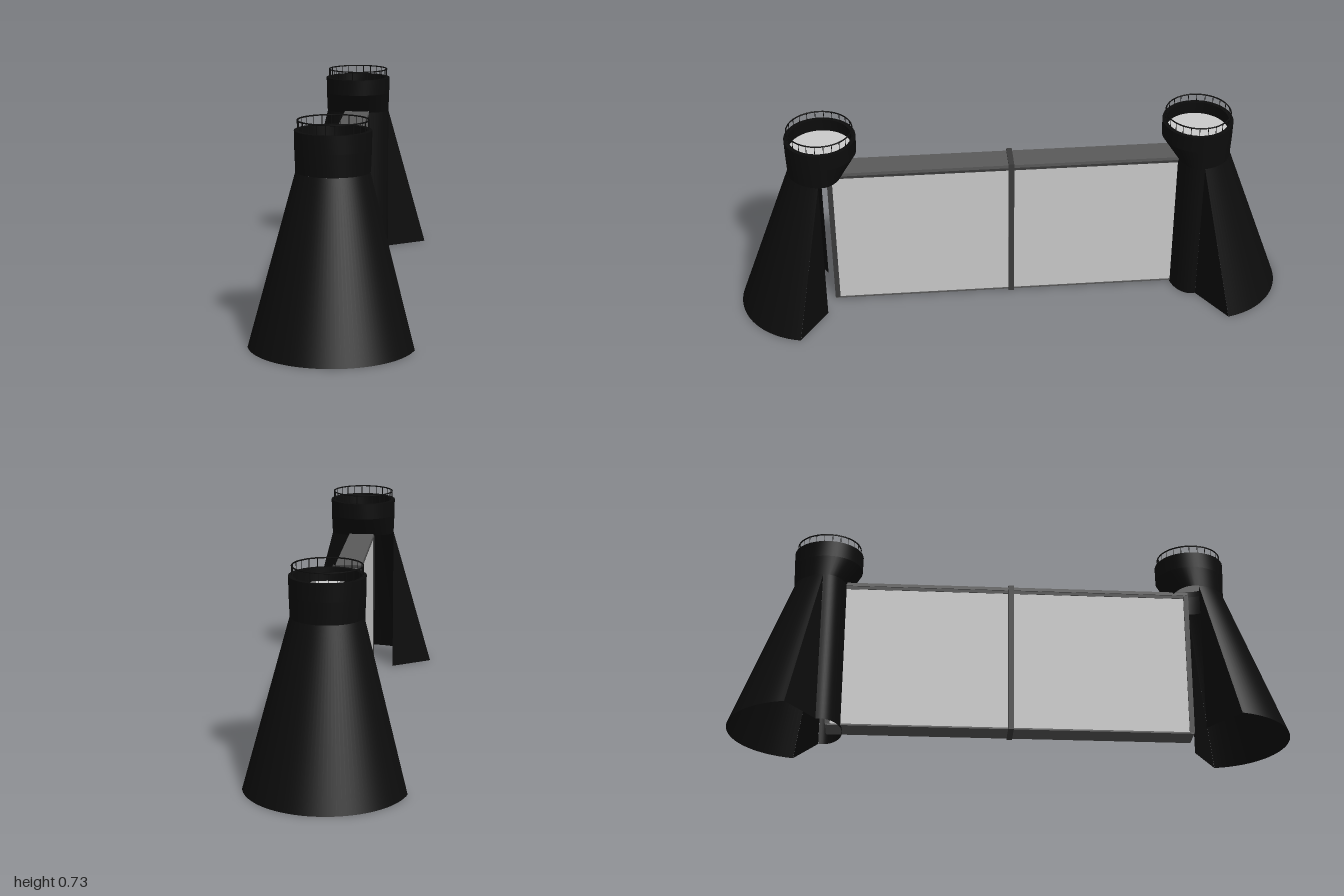
import * as THREE from 'three';

const paint = (color) => new THREE.MeshStandardMaterial({ color, side: THREE.DoubleSide });
const black = paint(0x0c0c0c);
const dark = paint(0x5a5a5a);
const trim = paint(0x3c3c3c);
const grey = paint(0xcccccc);

const CZ = 0.67; // distance of each tower axis from the middle

function add(parent, name, geometry, material, x = 0, y = 0, z = 0) {
  const mesh = new THREE.Mesh(geometry, material);
  mesh.name = name;
  mesh.position.set(x, y, z);
  parent.add(mesh);
  return mesh;
}

// Smooth surface through rings of equal point count
function loft(rings) {
  const n = rings[0].length;
  const index = [];
  for (let r = 0; r < rings.length - 1; r++) {
    for (let i = 0; i < n - 1; i++) {
      const a = r * n + i, b = a + n;
      index.push(a, a + 1, b, a + 1, b + 1, b);
    }
  }
  const g = new THREE.BufferGeometry().setFromPoints(rings.flat());
  g.setIndex(index);
  g.computeVertexNormals();
  return g;
}

// Arc in plan; the half facing the gate can be flattened with its own depth
function arc(y, r, cz, from, to, innerDepth = r, steps = 48) {
  return Array.from({ length: steps + 1 }, (_, i) => {
    const a = THREE.MathUtils.degToRad(from + (to - from) * i / steps);
    const s = Math.sin(a);
    return new THREE.Vector3(r * Math.cos(a), y, cz + s * (s > 0 ? r : innerDepth));
  });
}

function buildTower(name, dir, closed) {
  const tower = new THREE.Group();
  tower.name = name;
  const put = (part, rings) => {
    rings.flat().forEach((p) => { p.z *= dir; });
    return add(tower, part, loft(rings), black);
  };

  // Flared outer skirt, open underneath
  put('flaredSkirt', [arc(0.56, 0.122, CZ, 6, 174), arc(0, 0.276, 0.724, 12, 168)]);

  // Triangular panels closing the cut edges of the skirt
  for (const s of [-1, 1]) {
    const top = new THREE.Vector3(s * 0.121, 0.56, 0.683);
    put('skirtSidePanel', [
      [top, top.clone()],
      [new THREE.Vector3(s * 0.121, 0, 0.683), new THREE.Vector3(s * 0.27, 0, 0.781)],
    ]);
  }

  // Curved inner wall behind the gate end
  if (closed) {
    put('innerWall', [arc(0.56, 0.122, CZ, 174, 366, 0.075), arc(0, 0.122, CZ, 174, 366, 0.075)]);
  }

  // Collar: corbel, drum, rim and parapet lining
  put('collarCorbel', [arc(0.635, 0.125, CZ, 0, 360), arc(0.56, 0.122, CZ, 0, 360, 0.075)]);
  put('collarDrum', [arc(0.695, 0.126, CZ, 0, 360), arc(0.635, 0.125, CZ, 0, 360)]);
  put('collarRim', [arc(0.695, 0.111, CZ, 0, 360), arc(0.695, 0.126, CZ, 0, 360)]);
  put('parapetLining', [arc(0.65, 0.111, CZ, 0, 360), arc(0.695, 0.111, CZ, 0, 360)]);

  // Platform floor
  const floor = add(tower, 'platformFloor', new THREE.CircleGeometry(0.111, 48), grey, 0, 0.65, dir * CZ);
  floor.rotation.x = -Math.PI / 2;

  // Railing
  const railing = new THREE.Group();
  railing.name = 'railing';
  railing.position.set(0, 0, dir * CZ);
  tower.add(railing);
  const rail = add(railing, 'topRail', new THREE.TorusGeometry(0.115, 0.0025, 6, 48), black, 0, 0.727, 0);
  rail.rotation.x = Math.PI / 2;
  const post = new THREE.CylinderGeometry(0.0013, 0.0013, 0.034, 5);
  for (let i = 0; i < 24; i++) {
    const a = (i + 0.5) * Math.PI / 12;
    add(railing, 'railPost', post, black, 0.115 * Math.cos(a), 0.711, 0.115 * Math.sin(a));
  }
  return tower;
}

function buildGate() {
  const gate = new THREE.Group();
  gate.name = 'gate';
  add(gate, 'gatePanel', new THREE.BoxGeometry(0.086, 0.542, 1.306), grey, 0, 0.284, 0);
  // Cap and sill
  add(gate, 'topCap', new THREE.BoxGeometry(0.096, 0.012, 1.306), dark, 0, 0.561, 0);
  add(gate, 'capLip', new THREE.BoxGeometry(0.09, 0.012, 1.304), trim, 0, 0.549, 0);
  add(gate, 'bottomSill', new THREE.BoxGeometry(0.09, 0.006, 1.306), dark, 0, 0.011, 0);
  // Middle band and end strips
  add(gate, 'middleBand', new THREE.BoxGeometry(0.106, 0.567, 0.02), trim, 0, 0.29, 0);
  for (const sx of [-1, 1]) {
    for (const sz of [-1, 1]) {
      add(gate, 'endStrip', new THREE.BoxGeometry(0.004, 0.545, 0.018), trim, sx * 0.045, 0.285, sz * 0.646);
    }
  }
  return gate;
}

export function createModel() {
  const model = new THREE.Group();
  model.name = 'gatehouse';
  model.add(buildGate());
  model.add(buildTower('frontTower', 1, false));
  model.add(buildTower('backTower', -1, true));
  return model;
}
